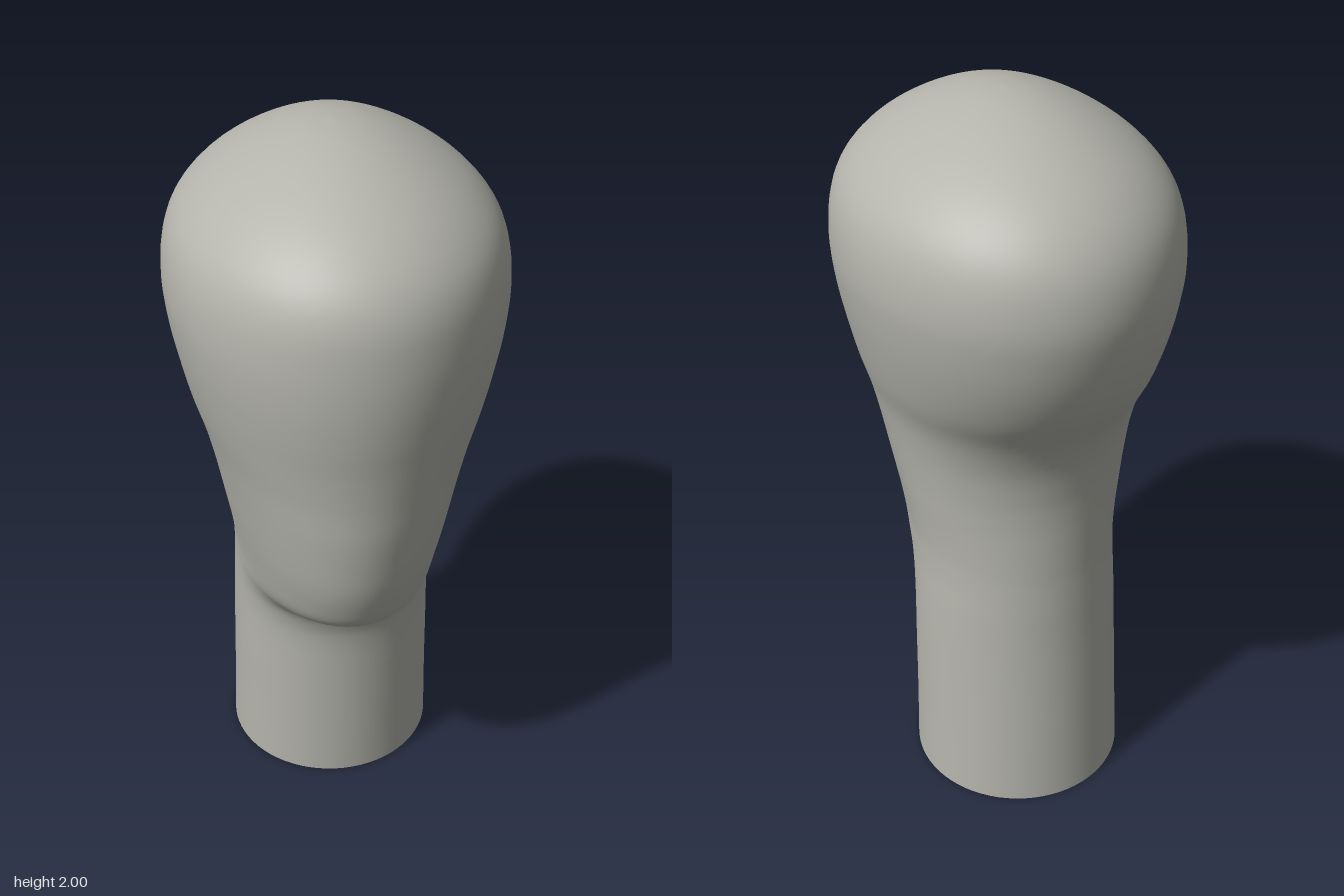
import * as THREE from 'three';

// Cross-sections from the neck up: [y, half width, front z, back z, z of widest point]
const SECTIONS = [
  [0, 0.3, 0.185, -0.415, -0.115], [0.2, 0.294, 0.19, -0.4, -0.105],
  [0.38, 0.29, 0.194, -0.385, -0.095], [0.5, 0.287, 0.198, -0.375, -0.09],
  [0.57, 0.285, 0.209, -0.37, -0.085], [0.63, 0.283, 0.238, -0.366, -0.08],
  [0.68, 0.281, 0.3, -0.362, -0.075], [0.73, 0.281, 0.383, -0.358, -0.07],
  [0.78, 0.283, 0.438, -0.355, -0.065], [0.85, 0.292, 0.472, -0.351, -0.055],
  [0.92, 0.304, 0.495, -0.348, -0.045], [1, 0.318, 0.51, -0.35, -0.03],
  [1.1, 0.336, 0.523, -0.365, -0.015], [1.2, 0.358, 0.53, -0.405, 0],
  [1.3, 0.388, 0.54, -0.47, 0], [1.4, 0.412, 0.553, -0.517, 0],
  [1.5, 0.431, 0.561, -0.547, 0], [1.6, 0.441, 0.56, -0.561, 0],
  [1.7, 0.433, 0.547, -0.548, 0], [1.78, 0.404, 0.511, -0.51, 0],
  [1.85, 0.345, 0.443, -0.443, 0], [1.91, 0.265, 0.347, -0.347, 0],
  [1.96, 0.17, 0.23, -0.23, 0], [1.99, 0.08, 0.11, -0.11, 0], [2, 0, 0, 0, 0],
];
const SIDES = 72, RINGS = 120;

// Egg-shaped outline point: different depths ahead of and behind the widest line
function outline(w, front, back, mid, i) {
  const a = (i / SIDES) * Math.PI * 2, s = Math.sin(a);
  return [w * Math.cos(a), mid + s * (s > 0 ? front - mid : mid - back)];
}

function loftGeometry() {
  const spline = (f) => new THREE.CatmullRomCurve3(
    SECTIONS.map((s) => new THREE.Vector3(...f(s))), false, 'catmullrom', 0.5);
  const fronts = spline(([y, w, f]) => [w, y, f]);
  const backs = spline(([y, , , b, m]) => [m, y, b]);
  const positions = [], indices = [];
  for (let r = 0; r < RINGS; r++) {
    const p = fronts.getPoint(r / RINGS), q = backs.getPoint(r / RINGS);
    for (let i = 0; i < SIDES; i++) {
      const [x, z] = outline(p.x, p.z, q.z, q.x, i);
      positions.push(x, p.y, z);
      const a = r * SIDES + i, b = r * SIDES + ((i + 1) % SIDES);
      if (r < RINGS - 1) indices.push(a, a + SIDES, b, b, a + SIDES, b + SIDES);
      else indices.push(a, RINGS * SIDES, b);
    }
  }
  positions.push(0, 2, 0); // crown
  const geo = new THREE.BufferGeometry();
  geo.setAttribute('position', new THREE.Float32BufferAttribute(positions, 3));
  geo.setIndex(indices);
  geo.computeVertexNormals();
  return geo;
}

export function createModel() {
  const group = new THREE.Group();
  group.name = 'mannequinHead';
  const clay = new THREE.MeshStandardMaterial({ color: 0xb4b4ac });
  clay.name = 'warm grey clay';

  // Head and neck as one smooth skin
  const head = new THREE.Mesh(loftGeometry(), clay);
  head.name = 'headAndNeck';
  group.add(head);

  // Flat cut under the neck
  const [, w, front, back, mid] = SECTIONS[0];
  const shape = new THREE.Shape();
  for (let i = 0; i < SIDES; i++) {
    const [x, z] = outline(w, front, back, mid, i);
    if (i) shape.lineTo(x, z); else shape.moveTo(x, z);
  }
  const base = new THREE.Mesh(new THREE.ShapeGeometry(shape), clay);
  base.name = 'neckBase';
  base.rotation.x = Math.PI / 2;
  group.add(base);
  return group;
}
